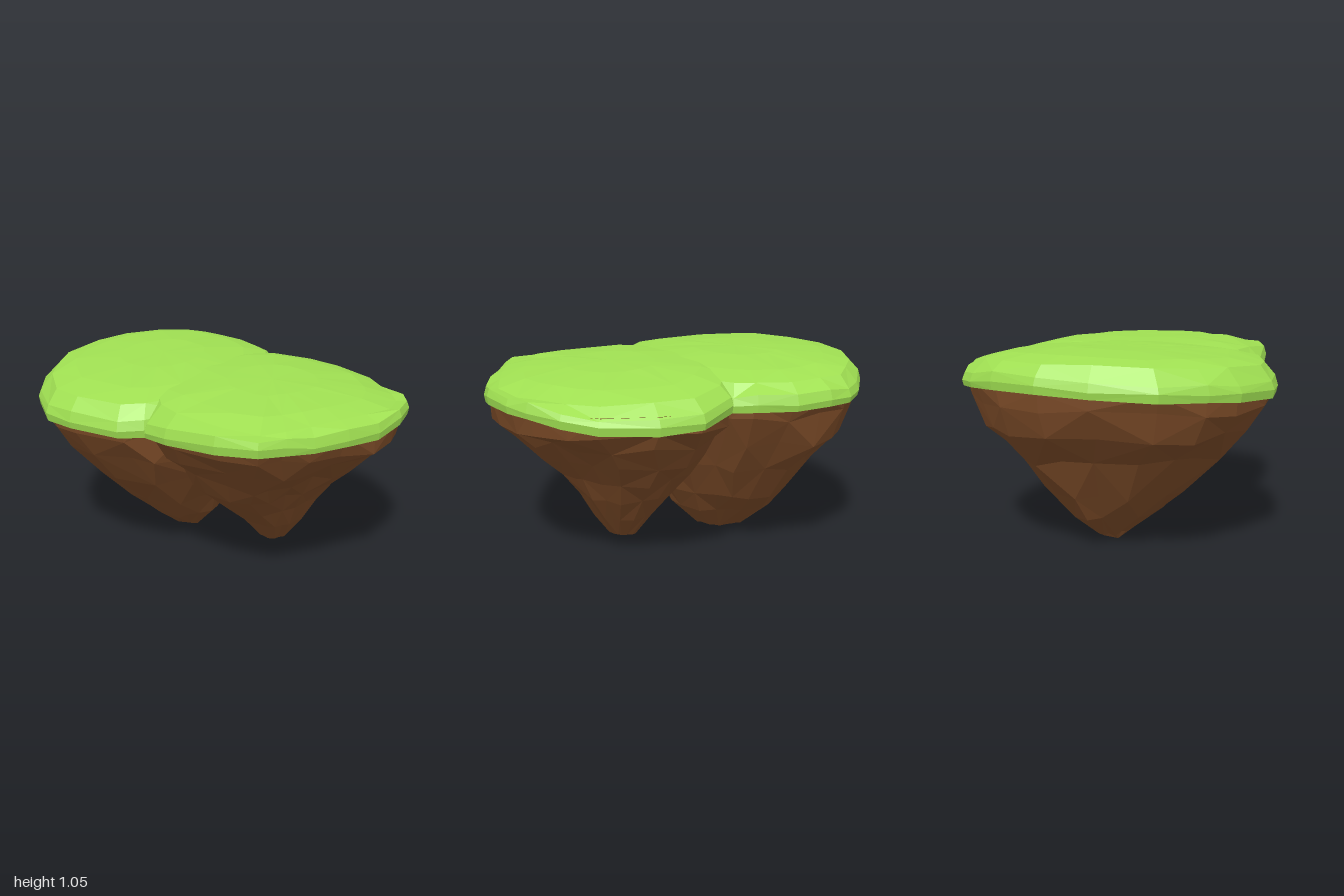
import * as THREE from 'three';

// small seeded random, returns -1..1
function makeNoise(seed) {
  return () => {
    seed = (seed * 16807) % 2147483647;
    return (seed / 2147483647) * 2 - 1;
  };
}

// outlines of the two overlapping lobes seen from above, counterclockwise: [x, z, height of the grass hem]
const rightOutline = [
  [-0.19, -0.65, 0.84], [-0.3, -0.7, 0.85], [-0.5, -0.71, 0.85], [-0.68, -0.68, 0.86], [-0.8, -0.62, 0.86],
  [-0.88, -0.52, 0.87], [-0.95, -0.36, 0.88], [-1, -0.1, 0.885], [-0.97, 0.16, 0.875], [-0.87, 0.46, 0.86],
  [-0.7, 0.64, 0.85], [-0.56, 0.75, 0.835], [-0.32, 0.84, 0.82], [-0.14, 0.81, 0.82], [0.12, 0.7, 0.815],
  [0.19, 0.585, 0.81], [0.26, 0.35, 0.83], [0.28, 0.1, 0.84], [0.2, -0.2, 0.84], [0, -0.5, 0.84],
];
const leftOutline = [
  [0.19, 0.585, 0.81], [0.36, 0.59, 0.825], [0.66, 0.53, 0.85], [0.86, 0.44, 0.87], [0.9, 0.3, 0.86],
  [0.94, 0.16, 0.85], [0.98, -0.03, 0.85], [1, -0.22, 0.845], [0.98, -0.4, 0.875], [0.89, -0.57, 0.87],
  [0.8, -0.65, 0.86], [0.65, -0.75, 0.83], [0.48, -0.83, 0.81], [0.2, -0.85, 0.8], [-0.02, -0.81, 0.81],
  [-0.19, -0.65, 0.84], [-0.28, -0.45, 0.84], [-0.31, -0.2, 0.84], [-0.26, 0.1, 0.83], [-0.08, 0.4, 0.82],
];

// skin closed rings from bottom to top, ending in a point at each end
function loft(rings, bottom, top) {
  const pos = [];
  const tri = (...pts) => pts.forEach((p) => pos.push(...p));
  const n = rings[0].length;
  const last = rings[rings.length - 1];
  for (let j = 0; j < n; j++) {
    const k = (j + 1) % n;
    tri(bottom, rings[0][k], rings[0][j]);
    for (let i = 0; i < rings.length - 1; i++) {
      const a = rings[i][j], b = rings[i][k], c = rings[i + 1][k], d = rings[i + 1][j];
      if ((i + j) % 2) { tri(a, b, c); tri(a, c, d); } else { tri(a, b, d); tri(b, c, d); }
    }
    tri(last[j], last[k], top);
  }
  const geo = new THREE.BufferGeometry();
  geo.setAttribute('position', new THREE.Float32BufferAttribute(pos, 3));
  geo.computeVertexNormals();
  return geo;
}

// rock lobe: its outline squeezed into the bounds [y, x0, x1, z0, z1] of each level
function rockLobe(outline, levels, tip, seed) {
  const noise = makeNoise(seed);
  const box = new THREE.Box2().setFromPoints(outline.map(([x, z]) => new THREE.Vector2(x, z)));
  const rings = levels.map(([y, x0, x1, z0, z1]) => {
    const rough = y < 0.85 ? 0.02 * Math.min(1, x1 - x0) : 0;
    return outline.map(([x, z]) => [
      THREE.MathUtils.mapLinear(x, box.min.x, box.max.x, x0, x1) + noise() * rough,
      y + noise() * rough * 1.5,
      THREE.MathUtils.mapLinear(z, box.min.y, box.max.y, z0, z1) + noise() * rough,
    ]);
  });
  const [, x0, x1, z0, z1] = levels[levels.length - 1];
  return loft(rings, tip, [(x0 + x1) / 2, 0.92, (z0 + z1) / 2]);
}

// height of the lawn, sloping down to the left and the back
function lawnHeight(x, z) {
  const d = z + 0.1;
  return 1.03 - 0.035 * x - (d < 0 ? 0.1 : 0.03) * d * d;
}

// grass cap: faceted rim below a gently domed top
function grassCap(outline, cx, cz, seed) {
  const noise = makeNoise(seed);
  const at = ([x, z], s) => [cx + (x - cx) * s, cz + (z - cz) * s];
  const rim = [[0.95, 0.008, 0], [0.99, 0, 0], [1, 0.035, 0.01], [0.98, 0.08, 0.012]];
  const dome = [[0.89, 0.04], [0.7, 0.014], [0.35, 0]];
  const rings = rim.map(([s, up, rough]) => outline.map((p) => {
    const [x, z] = at(p, s);
    return [x, p[2] + up + noise() * rough, z];
  }));
  dome.forEach(([s, drop]) => rings.push(outline.map((p) => {
    const [x, z] = at(p, s * (1 + noise() * 0.025));
    return [x, lawnHeight(x, z) - drop + noise() * 0.006 * s, z];
  })));
  return loft(rings, [cx, 0.86, cz], [cx, lawnHeight(cx, cz), cz]);
}

export function createModel() {
  const island = new THREE.Group();
  island.name = 'floatingIsland';
  const rock = new THREE.MeshStandardMaterial({ color: 0x7a4a27, flatShading: true });
  const grass = new THREE.MeshStandardMaterial({ color: 0xa0e052, flatShading: true });
  const add = (name, geometry, material) => {
    const mesh = new THREE.Mesh(geometry, material);
    mesh.name = name;
    island.add(mesh);
  };

  // larger lobe, reaching lowest
  add('rightRock', rockLobe(rightOutline, [
    [0.035, -0.41, -0.15, -0.1, 0.06],
    [0.17, -0.57, -0.01, -0.23, 0.22],
    [0.3, -0.66, 0.08, -0.35, 0.36],
    [0.5, -0.78, 0.18, -0.49, 0.55],
    [0.66, -0.91, 0.23, -0.6, 0.72],
    [0.79, -0.965, 0.26, -0.67, 0.8],
    [0.89, -0.975, 0.27, -0.69, 0.815],
  ], [-0.35, 0, 0.02], 17), rock);
  add('rightGrass', grassCap(rightOutline, -0.37, 0.05, 71), grass);

  // smaller lobe, leaning back and merging into the larger one
  add('leftRock', rockLobe(leftOutline, [
    [0.09, 0.23, 0.38, -0.28, -0.12],
    [0.22, 0.13, 0.47, -0.38, 0],
    [0.35, 0.03, 0.55, -0.48, 0.14],
    [0.47, -0.07, 0.63, -0.57, 0.27],
    [0.58, -0.15, 0.72, -0.65, 0.37],
    [0.69, -0.22, 0.86, -0.74, 0.46],
    [0.79, -0.27, 0.95, -0.81, 0.53],
    [0.89, -0.3, 0.975, -0.825, 0.565],
  ], [0.31, 0.07, -0.2], 43), rock);
  add('leftGrass', grassCap(leftOutline, 0.35, -0.12, 29), grass);
  return island;
}
